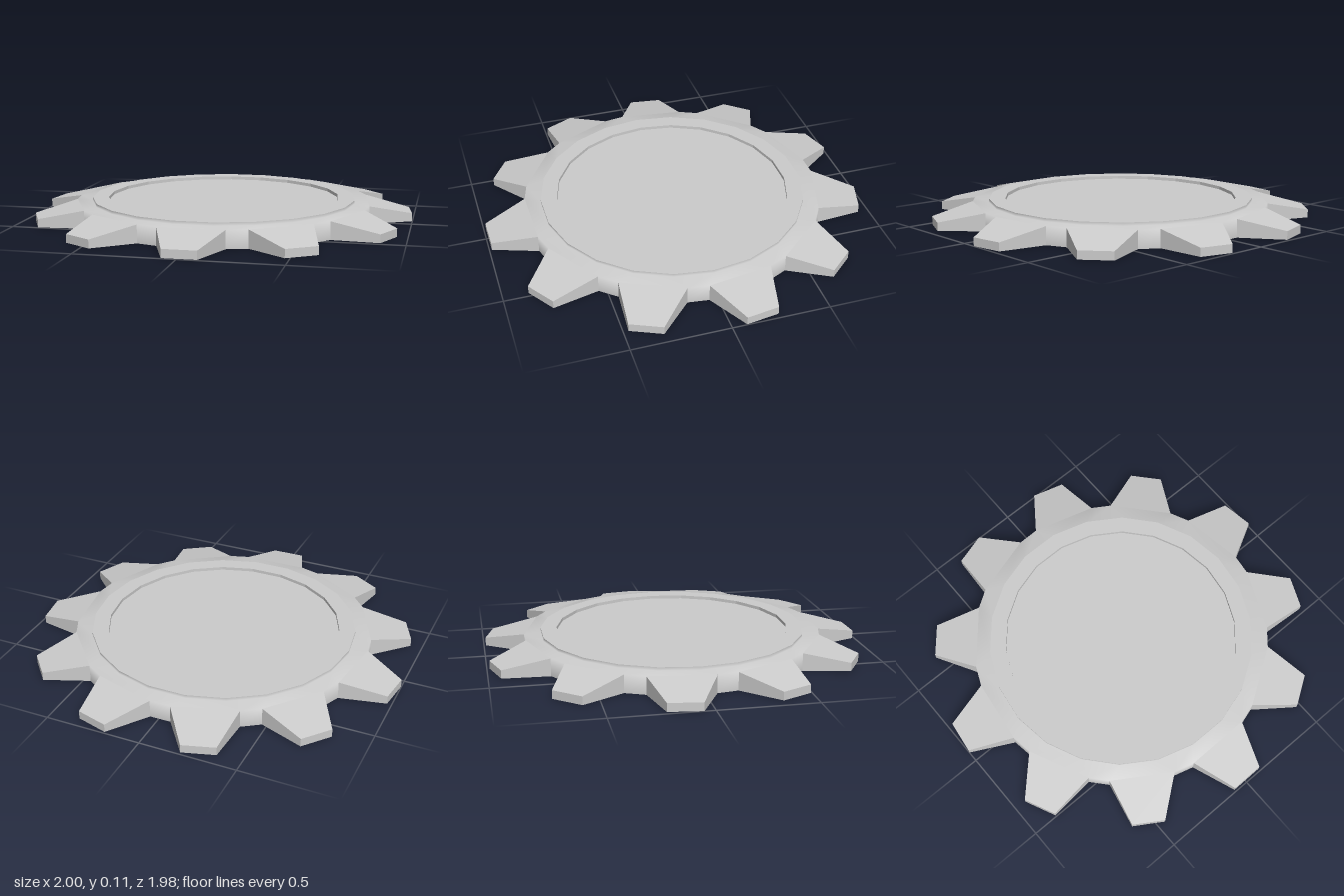
import * as THREE from 'three';

const TEETH = 11;
const STEP = (Math.PI * 2) / TEETH;
const DEG = Math.PI / 180;
const TOP = 0.093;      // height of the gear body
const RIM_TOP = 0.11;   // height of the raised rim
const ROOT_R = 0.785;
const ROOT_HALF = 12.4 * DEG;

const polar = (r, a, y) => [r * Math.sin(a), y, r * Math.cos(a)];

// Closed loop of two points per tooth, at plus and minus halfAngle about each tooth axis
function ringLoop(r, y, halfAngle, phase = 0) {
  const pts = [];
  for (let i = 0; i < TEETH; i++) {
    pts.push(polar(r, phase + i * STEP - halfAngle, y), polar(r, phase + i * STEP + halfAngle, y));
  }
  return pts;
}

// Joins closed loops into a skin; cap closes the last loop, keep(row, i) may leave faces out
function loft(loops, { cap = false, smooth = false, keep = () => true } = {}) {
  const n = loops[0].length;
  const index = [];
  for (let r = 0; r < loops.length - 1; r++) {
    for (let i = 0; i < n; i++) {
      if (!keep(r, i)) continue;
      const a = r * n + i, b = r * n + ((i + 1) % n);
      index.push(a, b, b + n, a, b + n, a + n);
    }
  }
  if (cap) {
    const s = (loops.length - 1) * n;
    for (let i = 1; i < n - 1; i++) index.push(s, s + i, s + i + 1);
  }
  let geo = new THREE.BufferGeometry();
  geo.setAttribute('position', new THREE.Float32BufferAttribute(loops.flat(2), 3));
  geo.setIndex(index);
  if (!smooth) geo = geo.toNonIndexed();
  geo.computeVertexNormals();
  return geo;
}

export function createModel() {
  const group = new THREE.Group();
  group.name = 'gear';
  const material = new THREE.MeshStandardMaterial({ color: 0xcccccc });
  const add = (name, geo) => {
    const mesh = new THREE.Mesh(geo, material);
    mesh.name = name;
    group.add(mesh);
    return mesh;
  };

  const phase = 0.6 * DEG;
  const rimHalf = STEP / 4;
  const rootBottom = ringLoop(ROOT_R, 0, ROOT_HALF, phase);

  // Softly shaded collar: valley walls between the teeth, shoulder and rim wall
  add('collar', loft([
    rootBottom,
    ringLoop(ROOT_R, TOP, ROOT_HALF, phase),
    ringLoop(0.7, TOP, rimHalf),
    ringLoop(0.7, RIM_TOP, rimHalf),
  ], { smooth: true, keep: (row, i) => row > 0 || i % 2 === 1 }));

  // Flat raised rim with the recessed disc inside
  add('rimAndDisc', loft([
    ringLoop(0.7, RIM_TOP, rimHalf),
    ringLoop(0.615, RIM_TOP, rimHalf),
    ringLoop(0.615, TOP, rimHalf),
  ], { cap: true }));

  // Underside
  add('underside', loft([rootBottom.slice().reverse()], { cap: true }));

  // Tapered teeth, sloping down to a thin tip
  const section = (r, half, h) => [
    polar(r, -half, 0), polar(r, half, 0), polar(r, half, h), polar(r, -half, h),
  ];
  const toothGeo = loft([
    section(ROOT_R, ROOT_HALF, TOP),
    section(1, 4.9 * DEG, 0.043),
  ], { cap: true });
  for (let i = 0; i < TEETH; i++) {
    add(`tooth${i + 1}`, toothGeo).rotation.y = phase + i * STEP;
  }

  group.position.z = -0.008;
  return group;
}
